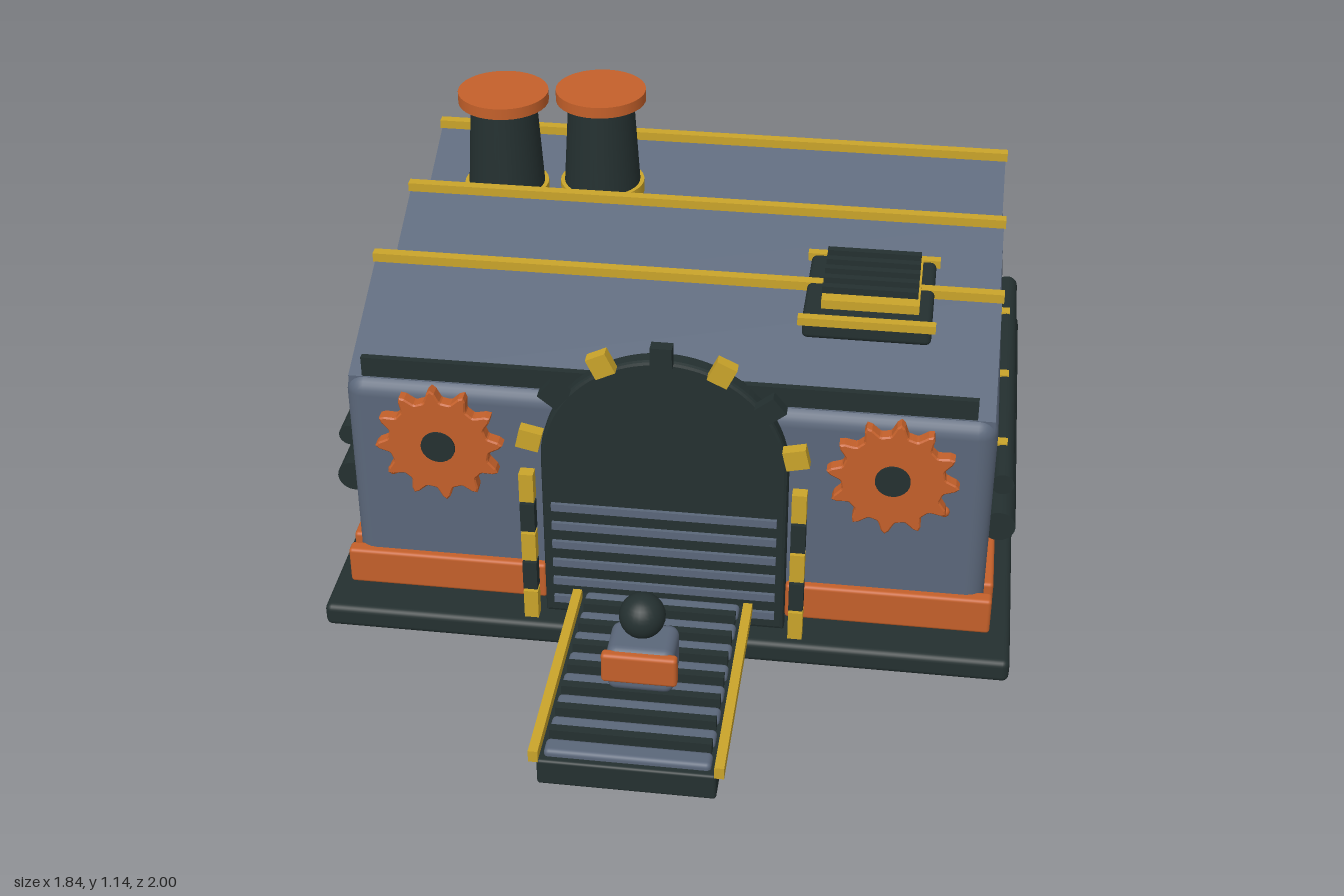
import * as THREE from 'three';
import { RoundedBoxGeometry } from 'three/addons/geometries/RoundedBoxGeometry.js';

function material(name, color) {
  const m = new THREE.MeshStandardMaterial({ color });
  m.name = name;
  return m;
}

export function createModel() {
  const model = new THREE.Group();
  model.name = 'factory';
  const slate = material('slate', 0x5b677a);
  const dark = material('dark iron', 0x243030);
  const orange = material('rust orange', 0xc4602a);
  const yellow = material('safety yellow', 0xcaa42a);

  const add = (name, geometry, mat, x = 0, y = 0, z = 0) => {
    const mesh = new THREE.Mesh(geometry, mat);
    mesh.name = name;
    mesh.position.set(x, y, z);
    model.add(mesh);
    return mesh;
  };
  // Box given by its minimum and maximum on each axis; r rounds the edges
  const box = (name, mat, [x0, x1], [y0, y1], [z0, z1], r = 0) => {
    const w = x1 - x0, h = y1 - y0, d = z1 - z0;
    const g = r ? new RoundedBoxGeometry(w, h, d, 3, r) : new THREE.BoxGeometry(w, h, d);
    return add(name, g, mat, (x0 + x1) / 2, (y0 + y1) / 2, (z0 + z1) / 2);
  };

  // Base and main hall
  box('base', dark, [-0.92, 0.92], [0, 0.067], [-1, 0.39], 0.018);
  box('hall', slate, [-0.84, 0.84], [0.06, 0.74], [-0.94, 0.29], 0.05);

  // Sawtooth roof with ridge caps and front window strips
  for (let i = 0; i < 3; i++) {
    const front = 0.265 - i * 0.405;
    const back = front - 0.34;
    const shape = new THREE.Shape();
    shape.moveTo(-front, 0.7);
    shape.lineTo(-back, 0.7);
    shape.lineTo(-back, 0.895);
    shape.lineTo(-front, 0.735);
    const g = new THREE.ExtrudeGeometry(shape, { depth: 1.66, bevelEnabled: false });
    g.rotateY(Math.PI / 2);
    add('roofTooth', g, slate, -0.83);
    box('ridgeCap', yellow, [-0.835, 0.835], [0.888, 0.913], [back - 0.014, back + 0.014]);
    box('windowStrip', dark, [-0.785, 0.785], [0.755, 0.81], [front + 0.01, front + 0.028]);
  }

  // Chimneys
  for (const [x, z] of [[-0.585, -0.625], [-0.315, -0.67]]) {
    add('chimney', new THREE.CylinderGeometry(0.092, 0.117, 0.4, 32), dark, x, 0.92, z);
    add('chimneyRing', new THREE.CylinderGeometry(0.12, 0.12, 0.035, 32), yellow, x, 0.842, z);
    add('chimneyCap', new THREE.CylinderGeometry(0.127, 0.127, 0.032, 32), orange, x, 1.126, z);
  }

  // Roof vent
  box('ventBox', dark, [0.325, 0.655], [0.842, 0.912], [-0.22, 0.105], 0.015);
  box('ventPlate', yellow, [0.37, 0.62], [0.905, 0.937], [-0.178, 0.065]);
  for (const z of [-0.225, 0.112])
    box('ventTrim', yellow, [0.315, 0.665], [0.893, 0.915], [z - 0.012, z + 0.012]);
  for (let i = 0; i < 5; i++) {
    const z = -0.152 + i * 0.048;
    box('ventSlat', dark, [0.37, 0.615], [0.949, 0.968], [z - 0.01, z + 0.01]);
  }

  // Arched gate
  const springY = 0.565, archR = 0.31;
  const arch = new THREE.Shape();
  arch.moveTo(-archR, 0.08);
  arch.lineTo(archR, 0.08);
  arch.lineTo(archR, springY);
  arch.absarc(0, springY, archR, 0, Math.PI, false);
  arch.lineTo(-archR, 0.08);
  add('gate', new THREE.ExtrudeGeometry(arch, {
    depth: 0.03, bevelSize: 0.01, bevelThickness: 0.01, bevelSegments: 2, curveSegments: 32,
  }), dark, 0, 0, 0.292);
  for (let i = 0; i < 6; i++) {
    const y = 0.12 + i * 0.06;
    box('gateSlat', slate, [-0.295, 0.295], [y - 0.011, y + 0.011], [0.325, 0.342]);
  }

  // Hazard blocks up the jambs and around the arch
  for (const s of [-1, 1])
    for (let i = 0; i < 5; i++) {
      const y = 0.072 + i * 0.0945;
      box('jambBlock', i % 2 ? dark : yellow,
        [s * 0.353 - 0.019, s * 0.353 + 0.019], [y, y + 0.086], [0.335, 0.368]);
    }
  for (let k = 0; k < 7; k++) {
    const a = (k + 0.5) * Math.PI / 7;
    const block = add('archBlock', new THREE.BoxGeometry(0.055, 0.06, 0.033), k % 2 ? dark : yellow,
      Math.cos(a) * 0.35, springY + Math.sin(a) * 0.35, 0.3515);
    block.rotation.z = a - Math.PI / 2;
  }

  // Wall gears
  const gearPoints = [];
  for (let i = 0; i < 144; i++) {
    const a = i / 144 * Math.PI * 2;
    const r = 0.128 + 0.035 * Math.pow((1 + Math.cos(12 * a)) / 2, 3);
    gearPoints.push(new THREE.Vector2(Math.cos(a) * r, Math.sin(a) * r));
  }
  const gearGeometry = new THREE.ExtrudeGeometry(new THREE.Shape(gearPoints), {
    depth: 0.03, bevelSize: 0.004, bevelThickness: 0.004, bevelSegments: 1,
  });
  for (const s of [-1, 1]) {
    add('gear', gearGeometry, orange, s * 0.585, 0.585, 0.306).rotation.z = -s * 0.08;
    const hub = add('gearHub', new THREE.CylinderGeometry(0.045, 0.045, 0.06, 24), dark,
      s * 0.585, 0.585, 0.315);
    hub.rotation.x = Math.PI / 2;
    add('bolt', new THREE.SphereGeometry(0.014, 12, 8), orange, s * 0.72, 0.475, 0.3);
  }

  // Skirting bands, side pipes and pipe brackets
  for (const s of [-1, 1]) {
    const side = (a, b) => (s > 0 ? [a, b] : [-b, -a]);
    box('frontBand', orange, side(0.32, 0.862), [0.097, 0.205], [0.27, 0.312], 0.01);
    box('sideBand', orange, side(0.82, 0.865), [0.097, 0.205], [-0.885, 0.237], 0.01);
    for (const [y, r] of [[0.495, 0.03], [0.361, 0.044]]) {
      const pipe = add('pipe', new THREE.CylinderGeometry(r, r, 1.035, 20), dark, s * 0.865, y, -0.3275);
      pipe.rotation.x = Math.PI / 2;
    }
    for (const z of [0.035, -0.303, -0.642])
      box('pipeBracket', yellow, side(0.835, 0.874), [0.37, 0.528], [z - 0.015, z + 0.015]);
  }

  // Conveyor with slats, cleats and rails
  box('conveyorBed', dark, [-0.22, 0.22], [0.07, 0.145], [0.33, 1], 0.008);
  for (const s of [-1, 1])
    box('conveyorRail', yellow, [s * 0.227 - 0.012, s * 0.227 + 0.012], [0.14, 0.173], [0.36, 1]);
  for (let i = 0; i < 8; i++) {
    const z = 0.375 + i * 0.083;
    box('conveyorSlat', slate, [-0.205, 0.205], [0.135, 0.163], [z - 0.026, z + 0.026], 0.012);
    if (i < 7)
      box('conveyorCleat', dark, [-0.2, 0.2], [0.14, 0.18], [z + 0.03, z + 0.053]);
  }

  // Small machine figure riding the conveyor
  box('figureBody', slate, [-0.085, 0.085], [0.185, 0.315], [0.638, 0.77], 0.025);
  box('figurePanel', orange, [-0.095, 0.095], [0.222, 0.308], [0.752, 0.782], 0.01);
  add('figureHead', new THREE.SphereGeometry(0.058, 24, 16), dark, 0, 0.385, 0.708);

  return model;
}
